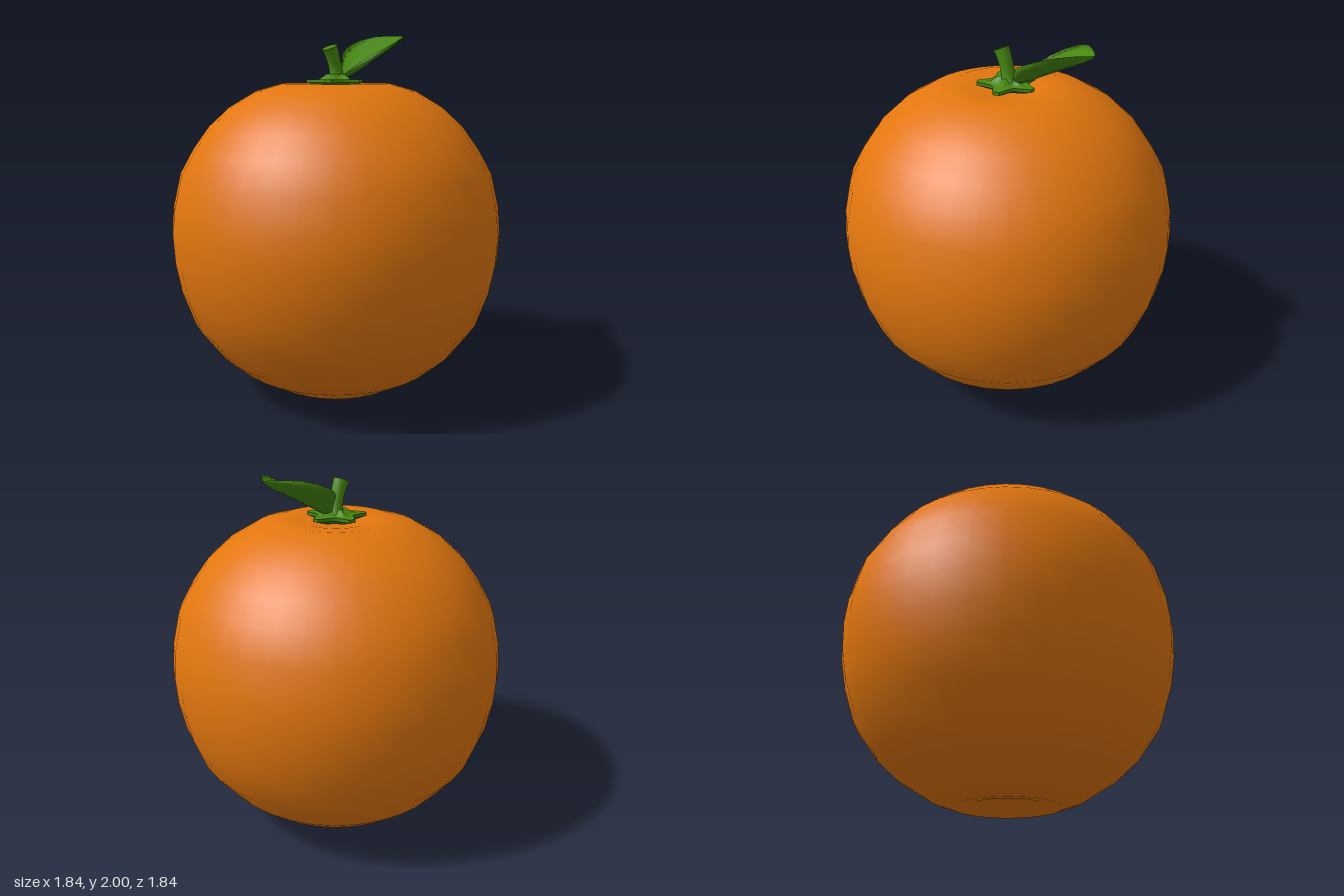
import * as THREE from 'three';
import { toCreasedNormals } from 'three/addons/utils/BufferGeometryUtils.js';

// Skin a closed surface over rings of [x, y, z] points, each ring right-handed about the loft direction.
function loft(rings) {
  const n = rings[0].length;
  const index = [];
  for (let i = 0; i < rings.length - 1; i++) {
    for (let j = 0; j < n; j++) {
      const k = (j + 1) % n;
      const a = i * n + j, b = i * n + k, c = b + n, d = a + n;
      index.push(a, b, d, b, c, d);
    }
  }
  const geometry = new THREE.BufferGeometry();
  geometry.setAttribute('position', new THREE.Float32BufferAttribute(rings.flat(2), 3));
  geometry.setIndex(index);
  geometry.computeVertexNormals();
  return geometry;
}

// Fruit skin: rounded profile with a shallow dimple at both ends.
function fruitGeometry() {
  const profile = [
    [0, 0.04], [0.1, 0.033], [0.2, 0.012], [0.285, 0.003], [0.405, 0.045], [0.585, 0.155],
    [0.69, 0.25], [0.815, 0.42], [0.88, 0.61], [0.91, 0.77], [0.918, 0.92], [0.905, 1.06],
    [0.86, 1.245], [0.787, 1.375], [0.7, 1.495], [0.585, 1.6], [0.44, 1.685], [0.3, 1.725],
    [0.2, 1.718], [0.1, 1.7], [0, 1.69],
  ].map(([r, y]) => new THREE.Vector2(r, y));
  return new THREE.LatheGeometry(profile, 36);
}

// Five-pointed calyx with blunt tips, rising toward the stem.
function calyxGeometry() {
  const outline = [];
  for (let p = 0; p < 5; p++) {
    for (const [deg, r] of [[-20, 0.118], [-6, 0.163], [6, 0.163], [20, 0.118], [36, 0.1]]) {
      outline.push([THREE.MathUtils.degToRad(p * 72 + deg), r]);
    }
  }
  const layers = [
    [0, 1.69], [0.5, 1.705], [1, 1.73], [1, 1.747], [0.8, 1.744], [0.55, 1.75], [0.32, 1.775], [0, 1.78],
  ];
  return toCreasedNormals(loft(layers.map(([s, y]) =>
    outline.map(([t, r]) => [s * r * Math.cos(t), y, -s * r * Math.sin(t)]))), 0.8);
}

// Leaning stem: flared foot and a flat, tilted cut at the top.
function stemGeometry() {
  const sections = [ // centre x, centre y, radius, lean
    [0.008, 1.75, 0.05, 0], [0.004, 1.78, 0.038, 0.08], [-0.008, 1.83, 0.037, 0.2],
    [-0.025, 1.88, 0.039, 0.32], [-0.044, 1.919, 0.043, 0.4], [-0.044, 1.919, 0, 0.4],
  ];
  const sides = 14;
  return toCreasedNormals(loft(sections.map(([cx, cy, r, lean]) =>
    Array.from({ length: sides }, (_, j) => {
      const t = j / sides * Math.PI * 2;
      const u = r * Math.cos(t);
      return [cx + u * Math.cos(lean), cy + u * Math.sin(lean), -r * Math.sin(t)];
    }))), 0.8);
}

// Leaf: cupped cross-sections swept outward along a rising midrib.
function leafGeometry() {
  const stations = [ // x, midrib y, edge y, half width
    [0.035, 1.76, 1.762, 0], [0.045, 1.763, 1.775, 0.015], [0.1, 1.784, 1.832, 0.072],
    [0.16, 1.814, 1.885, 0.138], [0.215, 1.845, 1.92, 0.174], [0.27, 1.873, 1.947, 0.185],
    [0.33, 1.904, 1.972, 0.171], [0.4, 1.938, 1.992, 0.13], [0.46, 1.967, 1.998, 0.075],
    [0.505, 1.986, 1.997, 0.027], [0.522, 1.992, 1.992, 0],
  ];
  const across = [-1, -0.75, -0.5, -0.25, 0, 0.25, 0.5, 0.75, 1];
  return loft(stations.map(([x, mid, edge, w]) => {
    const thick = Math.min(0.022, w * 0.5);
    const point = (v, drop) => [x, mid + (edge - mid) * Math.abs(v) ** 1.3 - drop * (1 - v * v), w * v];
    const top = across.map((v) => point(v, 0));
    const under = across.slice(1, -1).reverse().map((v) => point(v, thick));
    return [...top, ...under];
  }));
}

export function createModel() {
  const orange = new THREE.MeshStandardMaterial({ color: 0xe2760e });
  orange.name = 'orange peel';
  const green = new THREE.MeshStandardMaterial({ color: 0x478711 });
  green.name = 'leaf green';

  const model = new THREE.Group();
  model.name = 'orangeFruit';
  const add = (name, geometry, material) => {
    const mesh = new THREE.Mesh(geometry, material);
    mesh.name = name;
    model.add(mesh);
  };
  add('fruit', fruitGeometry(), orange);
  add('calyx', calyxGeometry(), green);
  add('stem', stemGeometry(), green);
  add('leaf', leafGeometry(), green);
  return model;
}
